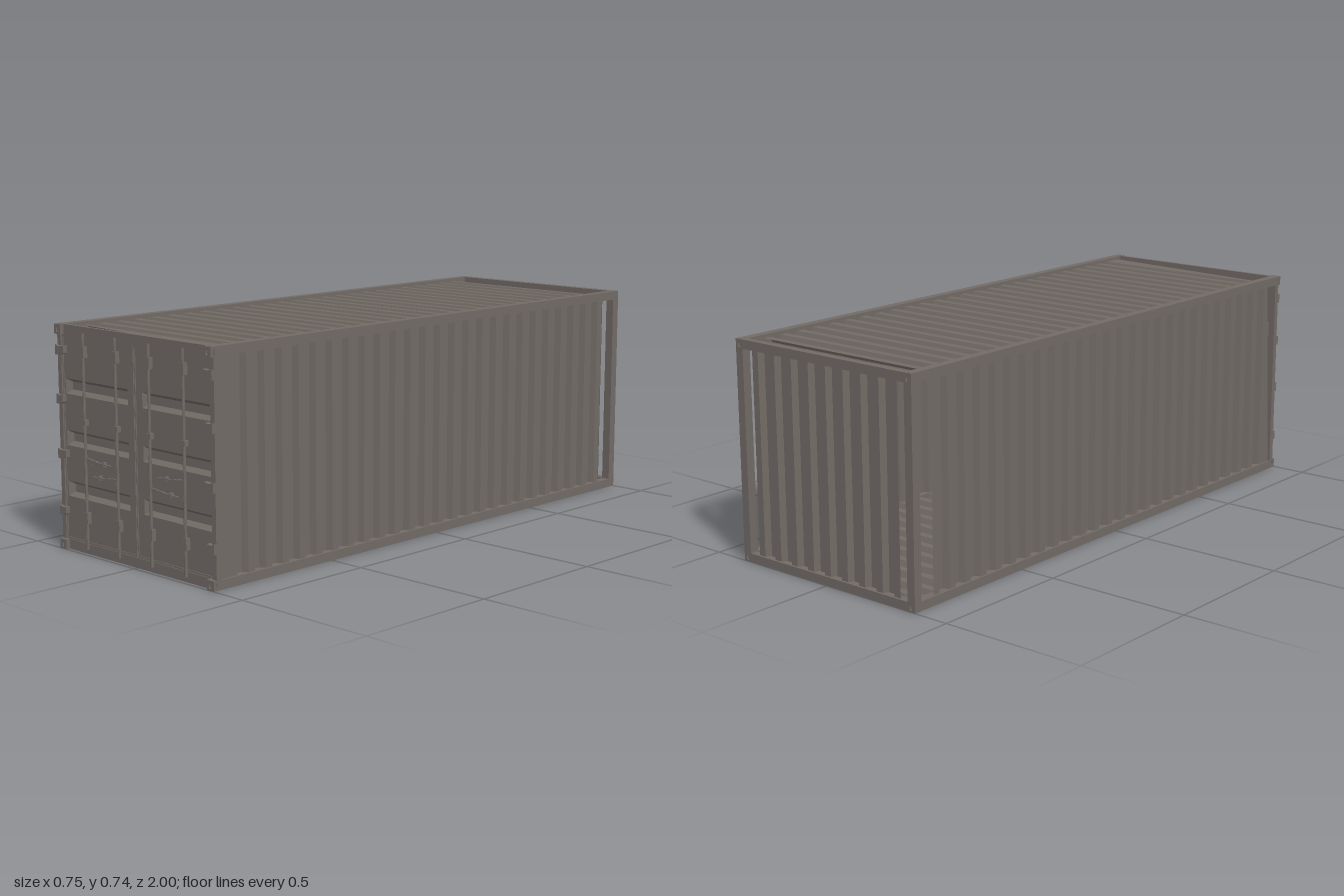
import * as THREE from 'three';

const steel = new THREE.MeshStandardMaterial({ color: 0x716a65, side: THREE.DoubleSide, flatShading: true });
steel.name = 'grey brown steel';

const W = 0.375, H = 0.735, BAR = 0.03;

function add(parent, name, geometry, x = 0, y = 0, z = 0) {
  const mesh = new THREE.Mesh(geometry, steel);
  mesh.name = name;
  mesh.position.set(x, y, z);
  parent.add(mesh);
  return mesh;
}

// Box given by its limits on each axis
function block(parent, name, x0, x1, y0, y1, z0, z1) {
  return add(parent, name, new THREE.BoxGeometry(Math.abs(x1 - x0), y1 - y0, z1 - z0),
    (x0 + x1) / 2, (y0 + y1) / 2, (z0 + z1) / 2);
}

function outline(points) {
  return new THREE.Shape(points.map(([x, y]) => new THREE.Vector2(x, y)));
}

function rect(x0, x1, y0, y1) {
  return outline([[x0, y0], [x1, y0], [x1, y1], [x0, y1]]);
}

function extrude(shape, depth) {
  return new THREE.ExtrudeGeometry(shape, { depth, bevelEnabled: false, curveSegments: 6 });
}

// Trapezoid-fluted sheet: u runs across the flutes, v along them, d is depth (0 outer, 1 inner).
// endA and endB finish the sheet with a flat strip, which may be cut at a slant.
function flutedSheet(u0, u1, count, place, endA = u1, endB = u1) {
  const step = (u1 - u0) / count, rows = [];
  for (let i = 0; i < count; i++) {
    for (const [f, d] of [[0, 0], [0.36, 0], [0.5, 1], [0.86, 1]]) {
      rows.push([u0 + (i + f) * step, u0 + (i + f) * step, d]);
    }
  }
  rows.push([u1, u1, 0], [endA, endB, 0]);
  const positions = [], index = [];
  rows.forEach(([a, b, d], i) => {
    positions.push(...place(a, 0, d), ...place(b, 1, d));
    if (i) index.push(2 * i - 2, 2 * i, 2 * i - 1, 2 * i - 1, 2 * i, 2 * i + 1);
  });
  const g = new THREE.BufferGeometry();
  g.setAttribute('position', new THREE.Float32BufferAttribute(positions, 3));
  g.setIndex(index);
  const flat = g.toNonIndexed();
  flat.computeVertexNormals();
  return flat;
}

// Sunken pan with sloping walls
function panGeometry(x0, x1, y0, y1, inset, depth) {
  const ring = (i, z) => [x0 + i, y0 + i, z, x1 - i, y0 + i, z, x1 - i, y1 - i, z, x0 + i, y1 - i, z];
  const g = new THREE.BufferGeometry();
  g.setAttribute('position', new THREE.Float32BufferAttribute([...ring(0, 0), ...ring(inset, -depth)], 3));
  const index = [4, 5, 6, 4, 6, 7];
  for (let i = 0; i < 4; i++) {
    const j = (i + 1) % 4;
    index.push(i, j, j + 4, i, j + 4, i + 4);
  }
  g.setIndex(index);
  const flat = g.toNonIndexed();
  flat.computeVertexNormals();
  return flat;
}

// Corner block: solid core with three outer plates pierced by oval holes
function cornerCasting(sx, top, sz) {
  const corner = new THREE.Group(), s = 0.032, t = 0.004;
  corner.name = 'cornerCasting';
  corner.position.set(sx * (W - s / 2), top ? H - s / 2 : s / 2, sz * (1 - s / 2));
  const sy = top ? 1 : -1;
  add(corner, 'castingCore', new THREE.BoxGeometry(s - t, s - t, s - t), -sx * t / 2, -sy * t / 2, -sz * t / 2);
  const shape = rect(-s / 2, s / 2, -s / 2, s / 2);
  const hole = new THREE.Path();
  hole.absellipse(0, 0, 0.006, 0.01, 0, Math.PI * 2);
  shape.holes.push(hole);
  const plate = extrude(shape, t).translate(0, 0, s / 2 - t);
  add(corner, 'endPlate', plate).rotation.y = sz > 0 ? 0 : Math.PI;
  add(corner, 'sidePlate', plate).rotation.y = sx * Math.PI / 2;
  add(corner, 'capPlate', plate).rotation.x = -sy * Math.PI / 2;
  return corner;
}

function buildFrame(root) {
  for (const s of [-1, 1]) {
    const outer = s * W, inner = s * (W - BAR);
    block(root, 'bottomSideRail', inner, outer, 0, BAR, -0.99, 0.985);
    block(root, 'topSideRail', inner, outer, H - BAR, H, -0.99, 0.985);
    block(root, 'backPost', inner, outer, BAR, H - BAR, -1, -0.97);
    block(root, 'frontPost', s * 0.357, outer, BAR, H - BAR, 0.968, 0.988);
    for (const top of [false, true]) {
      for (const sz of [-1, 1]) root.add(cornerCasting(s, top, sz));
    }
  }
  block(root, 'backSill', -0.345, 0.345, 0, BAR, -1, -0.975);
  block(root, 'backHeader', -0.345, 0.345, H - BAR, H, -1, -0.975);
  block(root, 'frontSill', -0.345, 0.345, 0, 0.033, 0.974, 0.986);
  block(root, 'frontHeader', -0.345, 0.345, 0.701, H, 0.974, 0.986);
}

function buildPanels(root) {
  const low = 0.025, high = 0.712, d0 = 0.019;
  // Side walls stop short of the back posts
  add(root, 'rightWall', flutedSheet(-0.91, 0.9, 25,
    (u, v, d) => [0.368 - d * d0, low + v * (high - low), u], 0.97, 0.97));
  add(root, 'leftWall', flutedSheet(-0.91, 0.9, 25,
    (u, v, d) => [-0.368 + d * d0, low + v * (high - low), u], 0.968, 0.925));
  add(root, 'roof', flutedSheet(-0.91, 0.89, 25,
    (u, v, d) => [-0.352 + v * 0.704, 0.724 - d * d0, u], 0.905, 0.958));
  add(root, 'floor', flutedSheet(-0.91, 0.89, 25,
    (u, v, d) => [-0.352 + v * 0.704, 0.008 + d * d0, u], 0.948, 0.948));
  add(root, 'backWall', flutedSheet(-0.31, 0.285, 8,
    (u, v, d) => [u, low + v * (high - low), -0.992 + d * d0], 0.31, 0.31));
}

function buildDoor(root, s) {
  const door = new THREE.Group();
  door.name = s > 0 ? 'rightDoor' : 'leftDoor';
  root.add(door);

  // Leaf with three sunken pans
  const leaf = rect(s * 0.002, s * 0.357, 0.033, 0.701);
  const [a, b] = s > 0 ? [0.035, 0.348] : [-0.348, -0.035];
  for (const y of [0.175, 0.342, 0.51]) {
    leaf.holes.push(rect(a, b, y, y + 0.05));
    add(door, 'sunkenPan', panGeometry(a, b, y, y + 0.05, 0.012, 0.019), 0, 0, 0.98);
  }
  add(door, 'doorLeaf', extrude(leaf, 0.006), 0, 0, 0.974);

  // Raised seal around the leaf
  const seal = rect(s * 0.003, s * 0.362, 0.032, 0.703);
  seal.holes.push(rect(s * 0.006, s * 0.354, 0.039, 0.696));
  add(door, 'doorSeal', extrude(seal, 0.003), 0, 0, 0.98);

  // Locking bars with their guides
  for (const x of [0.08, 0.24]) {
    add(door, 'lockingBar', new THREE.CylinderGeometry(0.005, 0.005, 0.697, 8), s * x, 0.3665, 0.991);
    for (const [y, h] of [[0.655, 0.036], [0.43, 0.018], [0.12, 0.036]]) {
      add(door, 'barGuide', new THREE.BoxGeometry(0.016, h, 0.016), s * x, y, 0.988);
    }
  }

  // Tapered handles, pointing towards each other
  const lever = [[0, -0.009], [0.026, -0.009], [0.026, -0.006], [0.048, -0.006], [0.055, -0.003], [0.12, -0.001],
    [0.12, 0.001], [0.055, 0.003], [0.048, 0.006], [0.026, 0.006], [0.026, 0.009], [0, 0.009]];
  for (const [x, y, dir] of [[0.235, 0.307, -1], [0.087, 0.26, 1]]) {
    const shape = outline(lever.map(([px, py]) => [s * (x + dir * px), y + py]));
    add(door, 'handle', extrude(shape, 0.006), 0, 0, 0.987);
    add(door, 'handleCatch', new THREE.BoxGeometry(0.008, 0.014, 0.014), s * (x + dir * 0.085), y, 0.987);
  }

  // Hinges wrapping the post edge
  [[0.652, 0.334], [0.493, 0.343], [0.314, 0.334], [0.127, 0.343]].forEach(([y, tip]) => {
    const shape = outline([[s * W, y - 0.016], [s * W, y + 0.016], [s * 0.358, y + 0.012],
      [s * tip, y + 0.014], [s * tip, y - 0.009], [s * 0.358, y - 0.016]]);
    add(door, 'hinge', extrude(shape, 0.016), 0, 0, 0.982);
  });
}

export function createModel() {
  const root = new THREE.Group();
  root.name = 'cargoContainer';
  buildFrame(root);
  buildPanels(root);
  for (const s of [-1, 1]) buildDoor(root, s);
  block(root, 'doorSeam', -0.004, 0.004, 0.033, 0.701, 0.972, 0.976);
  return root;
}
